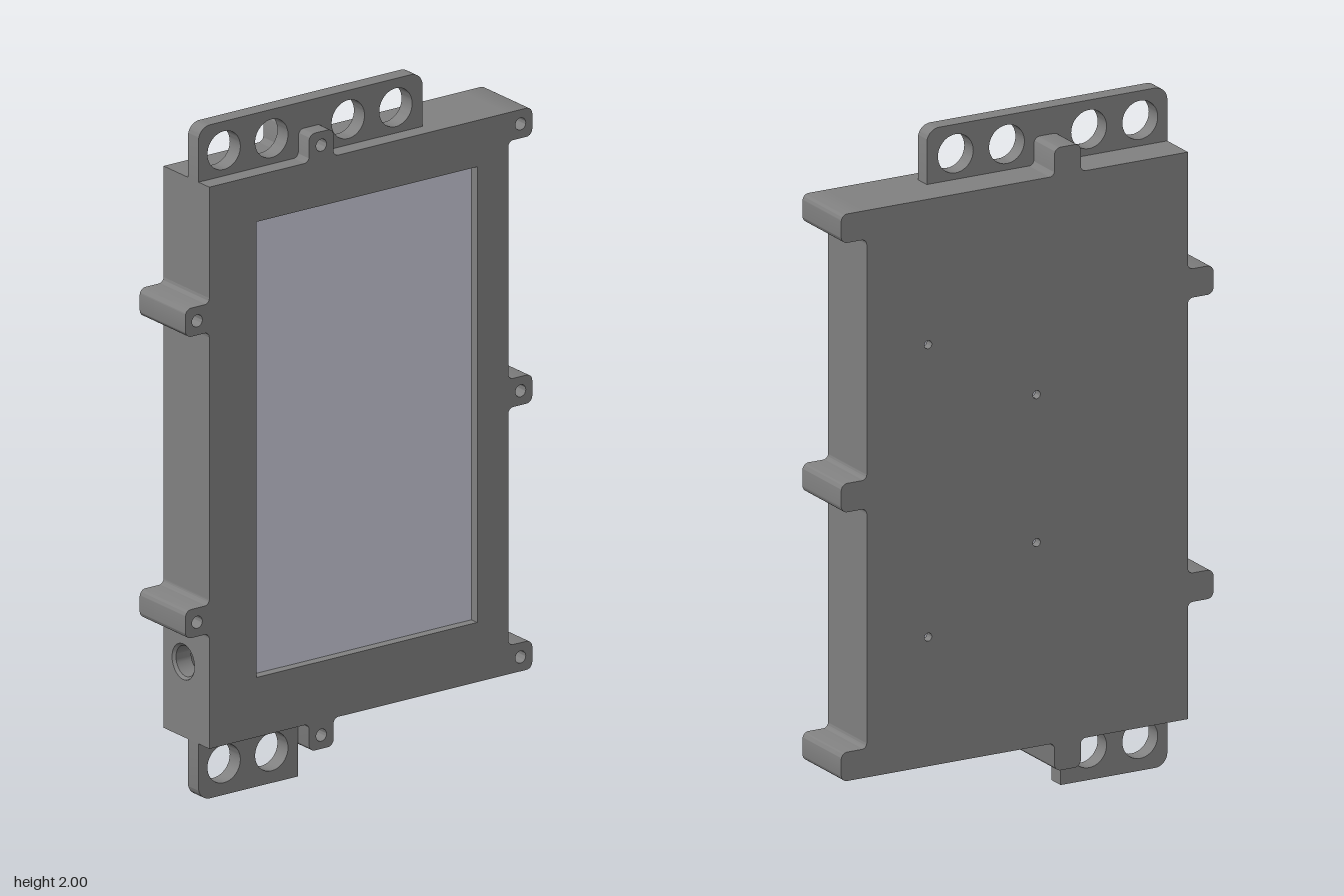
import * as THREE from 'three';
import { toCreasedNormals } from 'three/addons/utils/BufferGeometryUtils.js';

const HALF = 0.108, SKIN = 0.028;          // half depth of the case, wall thickness
const Z = 0.518, Y0 = 0.17, Y1 = 1.838;    // case outline
const INNER = HALF - SKIN;

export function createModel() {
  const root = new THREE.Group();
  const shellMat = new THREE.MeshStandardMaterial({ color: 0x808080 });
  const screenMat = new THREE.MeshStandardMaterial({ color: 0xcacbd8 });
  const sleeveMat = new THREE.MeshStandardMaterial({ color: 0x808080, side: THREE.DoubleSide });

  const add = (name, geo, mat = shellMat, parent = root) => {
    const mesh = new THREE.Mesh(geo, mat);
    mesh.name = name;
    parent.add(mesh);
    return mesh;
  };

  // Shape helpers
  const rect = (x0, y0, x1, y1) => new THREE.Shape([
    [x0, y0], [x1, y0], [x1, y1], [x0, y1]].map(p => new THREE.Vector2(...p)));
  const circle = (x, y, r) => new THREE.Path().absarc(x, y, r, 0, Math.PI * 2, true);
  const withHoles = (shape, ...holes) => { shape.holes.push(...holes); return shape; };

  // Extrude from a to b along the shape's normal
  const extrude = (shape, a, b) => new THREE.ExtrudeGeometry(shape,
    { depth: b - a, bevelEnabled: false, curveSegments: 20 }).translate(0, 0, a);
  // Shape drawn in (-z, y), extruded along x
  const alongX = (shape, a, b) => toCreasedNormals(extrude(shape, a, b).rotateY(Math.PI / 2), 0.6);
  // Shape drawn in (x, -z), extruded along y
  const alongY = (shape, a, b) => toCreasedNormals(extrude(shape, a, b).rotateX(-Math.PI / 2), 0.6);

  // Hollow case: bezel, back panel and four walls
  add('bezel', alongX(withHoles(rect(-Z, Y0, Z, Y1), rect(-0.355, 0.347, 0.41, 1.70)), INNER, HALF));
  const mounts = [[0.32, 1.41], [-0.03, 1.205], [-0.03, 0.77], [0.32, 0.55]];
  add('backPanel', alongX(withHoles(rect(-Z, Y0, Z, Y1),
    ...mounts.map(([s, y]) => circle(s, y, 0.012))), -HALF, -INNER));
  add('jackWall', toCreasedNormals(extrude(
    withHoles(rect(-INNER, Y0, INNER, Y1), circle(-0.015, 0.393, 0.053)), Z - SKIN, Z), 0.6));
  add('plainWall', extrude(rect(-INNER, Y0, INNER, Y1), -Z, -Z + SKIN));
  const zi = Z - SKIN;
  add('topWall', alongY(rect(-INNER, -zi, INNER, zi), Y1 - SKIN, Y1));
  add('bottomWall', alongY(withHoles(rect(-INNER, -zi, INNER, zi),
    rect(-0.05, 0.17, 0.06, 0.32)), Y0, Y0 + SKIN));

  // Recessed screen
  add('screen', new THREE.BoxGeometry(0.015, 1.40, 0.81).translate(INNER - 0.0075, 1.0235, -0.0275), screenMat);

  // Stepped sleeve in the jack opening
  const sleeve = new THREE.LatheGeometry(
    [[0.053, 0], [0.045, -0.008], [0.045, -0.06]].map(p => new THREE.Vector2(...p)), 32);
  add('jackSleeve', toCreasedNormals(sleeve.rotateX(Math.PI / 2), 0.5), sleeveMat).position.set(-0.015, 0.393, Z);

  // Screw lug outline: fa and fb are the fillet radii at its root
  const W = 0.0425, L = 0.0825, R = 0.02;
  const lugShape = (fa, fb) => {
    const s = new THREE.Shape();
    s.moveTo(-W - fa, 0);
    s.lineTo(W + fb, 0);
    if (fb) s.absarc(W + fb, fb, fb, -Math.PI / 2, -Math.PI, true);
    s.absarc(W - R, L - R, R, 0, Math.PI / 2, false);
    s.absarc(-W + R, L - R, R, Math.PI / 2, Math.PI, false);
    if (fa) s.absarc(-W - fa, fa, fa, 0, -Math.PI / 2, true);
    return s;
  };
  const F = 0.016, Q = Math.PI / 2;
  const lugs = [ // position (-z, y), rotation, root fillets
    [-Z, 1.45, Q, F, F], [-Z, 0.555, Q, F, F],
    [Z, Y1 - W, -Q, 0, F], [Z, 1.003, -Q, F, F], [Z, Y0 + W, -Q, F, 0],
    [-0.13, Y1, 0, F, F], [-0.13, Y0, Math.PI, F, F],
  ];
  for (const [s, y, angle, fa, fb] of lugs) {
    const lug = new THREE.Group();
    lug.name = 'screwLug';
    // Blind screw hole: drilled front section, solid rear section
    const section = (shape, a, b) => toCreasedNormals(
      extrude(shape, a, b).rotateZ(angle).translate(s, y, 0).rotateY(Q), 0.6);
    add('lugFront', section(withHoles(lugShape(fa, fb), circle(0, 0.042, 0.018)), -0.04, HALF), shellMat, lug);
    add('lugRear', section(lugShape(fa, fb), -HALF, -0.04), shellMat, lug);
    root.add(lug);
  }

  // Hanging plates with round holes
  const PX0 = 0.007, PX1 = 0.057, C = 0.04, HR = 0.057;
  const top = new THREE.Shape();
  top.moveTo(-Z, Y1 - 0.01);
  top.lineTo(0.258, Y1 - 0.01);
  top.absarc(0.258 - C, 2 - C, C, 0, Q, false);
  top.absarc(-Z + C, 2 - C, C, Q, Math.PI, false);
  withHoles(top, ...[-0.43, -0.265, 0, 0.165].map(s => circle(s, 1.914, HR)));
  add('topHangingPlate', alongX(top, PX0, PX1));

  const bottom = new THREE.Shape();
  bottom.moveTo(-0.174, 0);
  bottom.lineTo(-0.174, Y0 + 0.01);
  bottom.lineTo(-Z, Y0 + 0.01);
  bottom.absarc(-Z + C, C, C, Math.PI, Math.PI * 1.5, false);
  withHoles(bottom, ...[-0.43, -0.265].map(s => circle(s, 0.093, HR)));
  add('bottomHangingPlate', alongX(bottom, PX0, PX1));

  return root;
}
